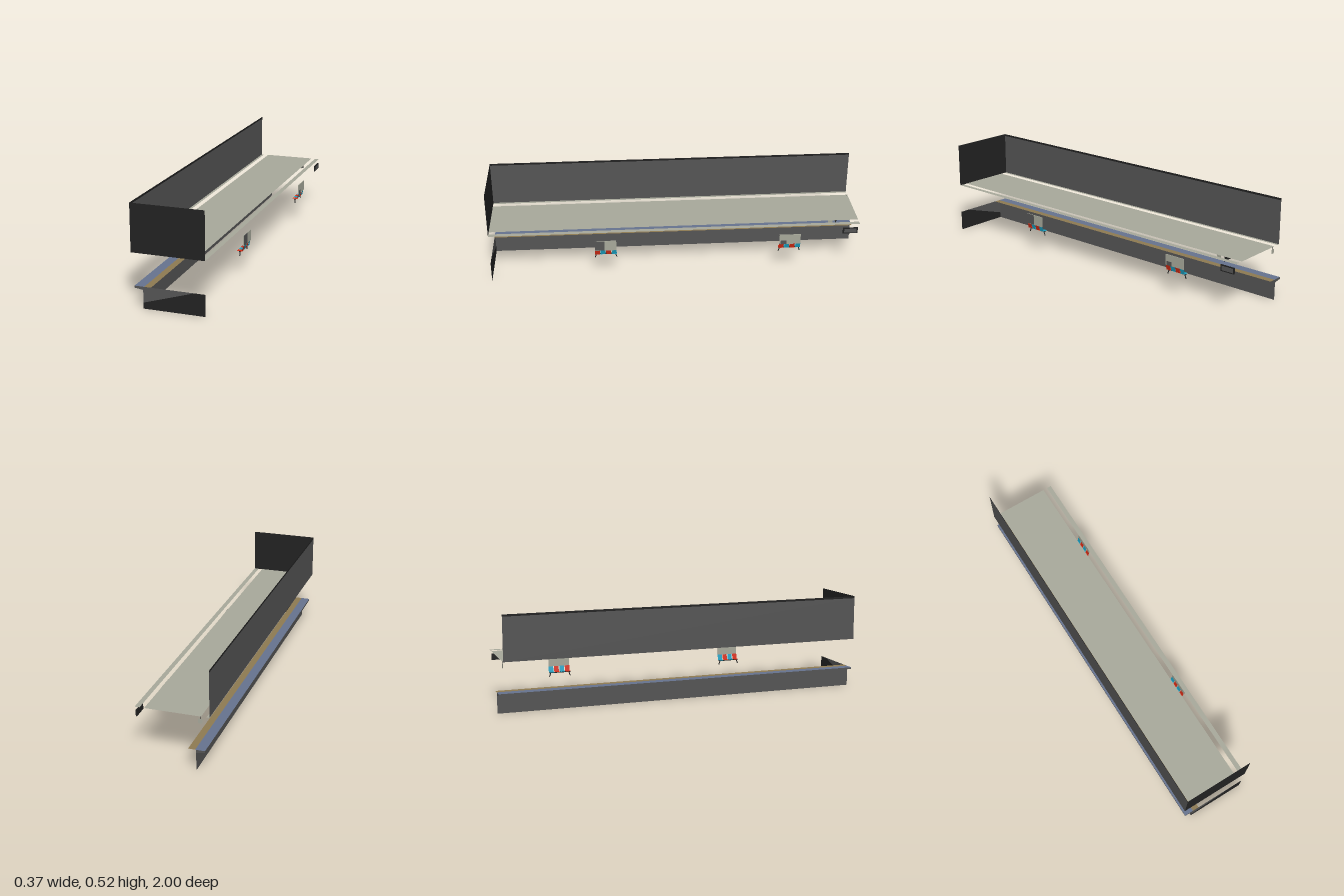
import * as THREE from 'three';

const mat = (name, color) => {
  const m = new THREE.MeshStandardMaterial({ color, side: THREE.DoubleSide });
  m.name = name;
  return m;
};

export function createModel() {
  const root = new THREE.Group();
  root.name = 'stationPlatform';
  const grey = mat('wallGrey', 0x555555);
  const black = mat('black', 0x222222);
  const pale = mat('paleConcrete', 0xa8a99b);
  const blue = mat('edgeBlue', 0x66738f);
  const tan = mat('tactileTan', 0x8e7a52);
  const red = mat('seatRed', 0xd32a14);
  const teal = mat('seatTeal', 0x1c9fc0);

  const add = (name, geo, m, parent = root) => {
    const mesh = new THREE.Mesh(geo, m);
    mesh.name = name;
    parent.add(mesh);
    return mesh;
  };
  // Box given by its extents
  const box = (name, [x0, x1], [y0, y1], [z0, z1], m, parent) =>
    add(name, new THREE.BoxGeometry(x1 - x0, y1 - y0, z1 - z0), m, parent)
      .position.set((x0 + x1) / 2, (y0 + y1) / 2, (z0 + z1) / 2);
  // Flat polygon in the xy plane
  const plate = (name, pts, z, m, parent) => {
    const s = new THREE.Shape(pts.map(p => new THREE.Vector2(...p)));
    add(name, new THREE.ShapeGeometry(s), m, parent).position.z = z;
  };
  const rect = (name, x0, x1, y0, y1, z, m, parent) =>
    plate(name, [[x0, y0], [x1, y0], [x1, y1], [x0, y1]], z, m, parent);
  // Open sheet following a profile in xy, swept along z
  const sheet = (name, pts, z0, z1, m, parent) => {
    const pos = [], idx = [];
    for (let i = 0; i < pts.length - 1; i++) {
      const [a, b] = [pts[i], pts[i + 1]];
      pos.push(...a, z0, ...b, z0, ...b, z1, ...a, z1);
      const k = i * 4;
      idx.push(k, k + 1, k + 2, k, k + 2, k + 3);
    }
    const g = new THREE.BufferGeometry();
    g.setAttribute('position', new THREE.Float32BufferAttribute(pos, 3));
    g.setIndex(idx);
    g.computeVertexNormals();
    add(name, g, m, parent);
  };

  // Upper walls and ceiling with two long open slots
  const back = -0.975;
  sheet('upperSideWall', [[-0.186, 0.275], [-0.186, 0.505]], back, 1, grey);
  sheet('upperWallTrim', [[-0.186, 0.505], [-0.186, 0.516]], back, 1, black);
  rect('upperEndWall', -0.186, 0.186, 0.274, 0.516, 1, black);
  for (const [x1, x0] of [[-0.172, -0.186], [0.138, -0.145], [0.186, 0.161]])
    sheet('ceilingPanel', [[x1, 0.275], [x0, 0.275]], back, 1, pale);

  // Platform edge: overhanging lip, coloured strips and the wall beneath
  sheet('platformWall', [[-0.127, 0], [-0.127, 0.108]], -1, 1, grey);
  sheet('edgeStrip', [[-0.122, 0.11], [-0.171, 0.11]], -1, 1, blue);
  sheet('tactileStrip', [[-0.087, 0.11], [-0.122, 0.11]], -1, 1, tan);
  sheet('lipFace', [[-0.171, 0.11], [-0.171, 0.1]], -1, 1, grey);
  sheet('lipUnderside', [[-0.171, 0.1], [-0.127, 0.094]], -1, 1, blue);
  for (const z of [-1, 1])
    plate('lipCap', [[-0.171, 0.1], [-0.127, 0.094], [-0.127, 0.11], [-0.171, 0.11]], z, grey);
  plate('platformEndDark', [[-0.127, 0], [0.186, 0], [0.186, 0.11], [0.13, 0.11], [-0.127, 0.03]], 1, black);
  plate('platformEndLight', [[-0.127, 0.03], [0.13, 0.11], [-0.127, 0.11]], 1, grey);

  // Benches with alternating seats, bent legs and a rear panel
  [0.387, -0.602].forEach((zc, n) => {
    const bench = new THREE.Group();
    bench.name = 'bench';
    bench.position.z = zc;
    root.add(bench);
    for (let i = 0; i < 4; i++) {
      const z = -0.045 + i * 0.03, m = i % 2 ? red : teal;
      sheet('seat', [[0.172, 0.135], [0.143, 0.136]], z - 0.013, z + 0.013, m, bench);
      sheet('seatBack', [[0.171, 0.135], [0.178, 0.165]], z - 0.013, z + 0.013, m, bench);
    }
    box('seatBeam', [0.155, 0.162], [0.13, 0.134], [-0.058, 0.058], black, bench);
    for (const s of [-1, 1]) {
      const leg = new THREE.LineCurve3(
        new THREE.Vector3(0.159, 0.132, s * 0.05), new THREE.Vector3(0.159, 0.11, s * 0.058));
      add('benchLeg', new THREE.TubeGeometry(leg, 1, 0.0027, 6), black, bench);
    }
    box('rearPanel', [0.177, 0.181], [0.163, 0.22], [-0.057, 0.057], pale, bench);
    if (n === 0) box('panelShade', [0.181, 0.182], [0.165, 0.22], [0.006, 0.057], grey, bench);
    else box('panelShade', [0.181, 0.182], [0.163, 0.185], [0.018, 0.05], grey, bench);
  });

  // Sign box on the right and a small hanging plate
  box('wallSign', [0.18, 0.186], [0.219, 0.252], [-0.965, -0.885], black);
  box('wallSignFace', [0.186, 0.1865], [0.224, 0.247], [-0.958, -0.892], grey);
  sheet('sidePlate', [[0.12, 0.247], [0.12, 0.272]], -0.84, -0.815, pale);

  // Hanging clock
  rect('clockFace', -0.149, -0.128, 0.236, 0.26, -0.97, pale);
  box('clockRod', [-0.1395, -0.138], [0.26, 0.275], [-0.971, -0.969], black);

  // Departure display with coloured fields and rows of dots
  const display = new THREE.Group();
  display.name = 'departureDisplay';
  display.position.z = -0.86;
  root.add(display);
  rect('displayBoard', -0.016, 0.12, 0.241, 0.272, 0, black, display);
  rect('displayGreyField', -0.014, 0.011, 0.257, 0.27, 0.001, grey, display);
  rect('displayTanField', -0.014, 0.012, 0.243, 0.254, 0.001, tan, display);
  for (const y of [0.258, 0.265])
    rect('displayRedRow', 0.013, 0.038, y, y + 0.004, 0.001, red, display);
  for (const y of [0.247, 0.259, 0.266])
    for (let i = 0; i < 14; i++)
      rect('displayDot', 0.041 + i * 0.0055, 0.044 + i * 0.0055, y, y + 0.002, 0.001, pale, display);

  return root;
}
